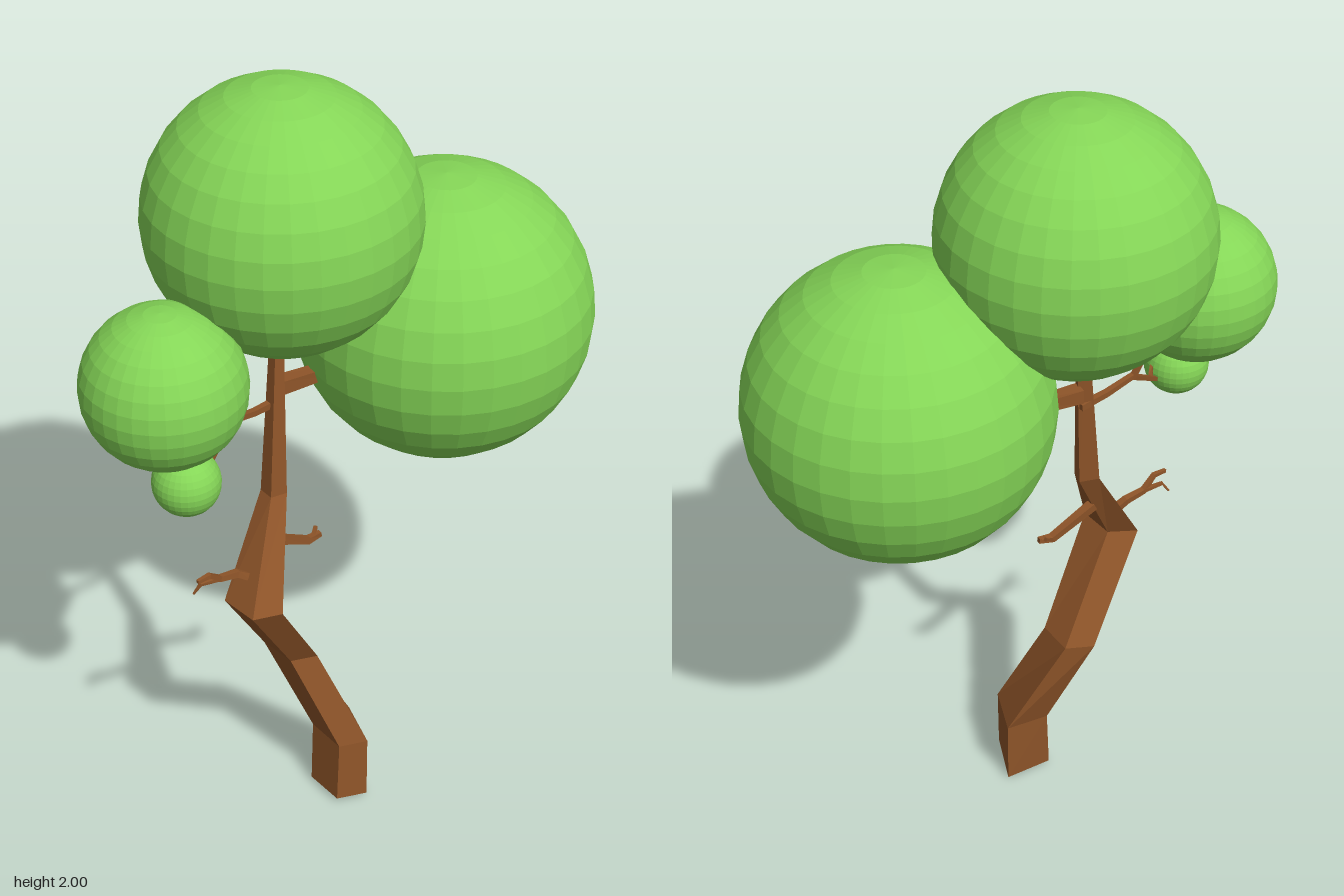
import * as THREE from 'three';

const bark = new THREE.MeshStandardMaterial({ color: 0x8f5529, flatShading: true });
const leaf = new THREE.MeshStandardMaterial({ color: 0x85d657, flatShading: true });

// Skin a stack of rings (counter-clockwise seen from the far end) and cap both ends
function loft(rings) {
  const n = rings[0].length;
  const index = [];
  for (let r = 0; r < rings.length - 1; r++) {
    for (let i = 0; i < n; i++) {
      const a = r * n + i, b = r * n + (i + 1) % n;
      index.push(a, b, b + n, a, b + n, a + n);
    }
  }
  const top = (rings.length - 1) * n;
  for (let i = 1; i < n - 1; i++) index.push(0, i + 1, i, top, top + i, top + i + 1);
  const geo = new THREE.BufferGeometry();
  geo.setAttribute('position', new THREE.Float32BufferAttribute(rings.flat(2), 3));
  geo.setIndex(index);
  const flat = geo.toNonIndexed();
  flat.computeVertexNormals();
  return flat;
}

// Tapered four-sided limb following a bent path
function limb(path, r0, r1) {
  const pts = path.map(p => new THREE.Vector3(...p));
  const last = pts.length - 1;
  return loft(pts.map((p, k) => {
    const t = pts[Math.min(k + 1, last)].clone().sub(pts[Math.max(k - 1, 0)]).normalize();
    const u = new THREE.Vector3(0, 0, 1).cross(t).normalize();
    const v = t.clone().cross(u);
    const r = r0 + (r1 - r0) * k / last;
    return [0, 1, 2, 3].map(i => {
      const a = (i + 0.5) * Math.PI / 2;
      return p.clone().addScaledVector(u, r * Math.cos(a)).addScaledVector(v, r * Math.sin(a)).toArray();
    });
  }));
}

export function createModel() {
  const tree = new THREE.Group();
  tree.name = 'tree';
  const add = (name, geo, mat) => {
    const mesh = new THREE.Mesh(geo, mat);
    mesh.name = name;
    tree.add(mesh);
    return mesh;
  };

  // Crooked trunk: y, then x of left / front / right corners, z of front / right / back corners
  const levels = [
    [0.01, -0.12, -0.05, 0.02, 0.117, 0, -0.032],
    [0.185, -0.105, -0.042, 0.026, 0.112, -0.005, -0.037],
    [0.455, -0.164, -0.106, -0.09, 0, -0.095, -0.137],
    [0.72, -0.338, -0.275, -0.265, 0.037, -0.058, -0.104],
    [0.965, -0.187, -0.148, -0.132, -0.055, -0.09, -0.112],
    [1.45, -0.13, -0.115, -0.103, -0.085, -0.1, -0.113],
  ];
  add('trunk', loft(levels.map(([y, xl, xf, xr, zf, zr, zb], k) => {
    const tilt = k === 0 ? 0.01 : 0;
    return [
      [xf, y, zf],
      [xr, y - tilt, zr],
      [xl + 0.17 * (xr - xl), y, zb],
      [xl, y + tilt / 2, zb + 0.72 * (zf - zb)],
    ];
  })), bark);

  // Branches and bare twigs
  const limbs = [
    ['rightBranch', [[-0.12, 1.24, -0.1], [0.04, 1.235, -0.05], [0.28, 1.3, 0.05]], 0.026, 0.015],
    ['leftBranch', [[-0.12, 1.2, -0.1], [-0.2, 1.205, -0.105], [-0.28, 1.22, -0.11]], 0.012, 0.009],
    ['leftBranchUpperFork', [[-0.28, 1.215, -0.11], [-0.33, 1.3, -0.12], [-0.4, 1.38, -0.125]], 0.009, 0.006],
    ['leftBranchLowerFork', [[-0.275, 1.22, -0.11], [-0.38, 1.155, -0.09], [-0.45, 1.165, -0.08]], 0.009, 0.006],
    ['leftForkSprig', [[-0.36, 1.165, -0.092], [-0.385, 1.18, -0.07], [-0.4, 1.17, -0.06]], 0.007, 0.004],
    ['innerTwig', [[-0.2, 0.85, -0.07], [-0.085, 0.79, -0.045], [-0.05, 0.795, -0.035]], 0.016, 0.009],
    ['innerTwigTip', [[-0.07, 0.79, -0.04], [-0.05, 0.81, -0.05]], 0.008, 0.005],
    ['outerTwig', [[-0.27, 0.78, -0.06], [-0.31, 0.81, -0.075], [-0.36, 0.82, -0.085],
      [-0.395, 0.85, -0.085], [-0.43, 0.85, -0.09]], 0.014, 0.006],
    ['outerTwigFork', [[-0.36, 0.82, -0.085], [-0.41, 0.825, -0.1], [-0.425, 0.8, -0.11]], 0.008, 0.003],
  ];
  for (const [name, path, r0, r1] of limbs) add(name, limb(path, r0, r1), bark);

  // Ball-shaped foliage
  const balls = [
    ['topFoliage', 0.32, -0.09, 1.68, -0.105],
    ['rightFoliage', 0.362, 0.295, 1.32, 0.06],
    ['leftFoliage', 0.19, -0.47, 1.41, -0.125],
    ['smallFoliage', 0.08, -0.46, 1.165, -0.08],
  ];
  for (const [name, r, x, y, z] of balls) {
    add(name, new THREE.SphereGeometry(r, 32, 16), leaf).position.set(x, y, z);
  }

  // Green sprig just breaking through the underside of the large ball
  add('foliageSprig', limb([[0.52, 1.06, 0.1], [0.39, 0.962, 0.07]], 0.012, 0.016), leaf);

  return tree;
}
